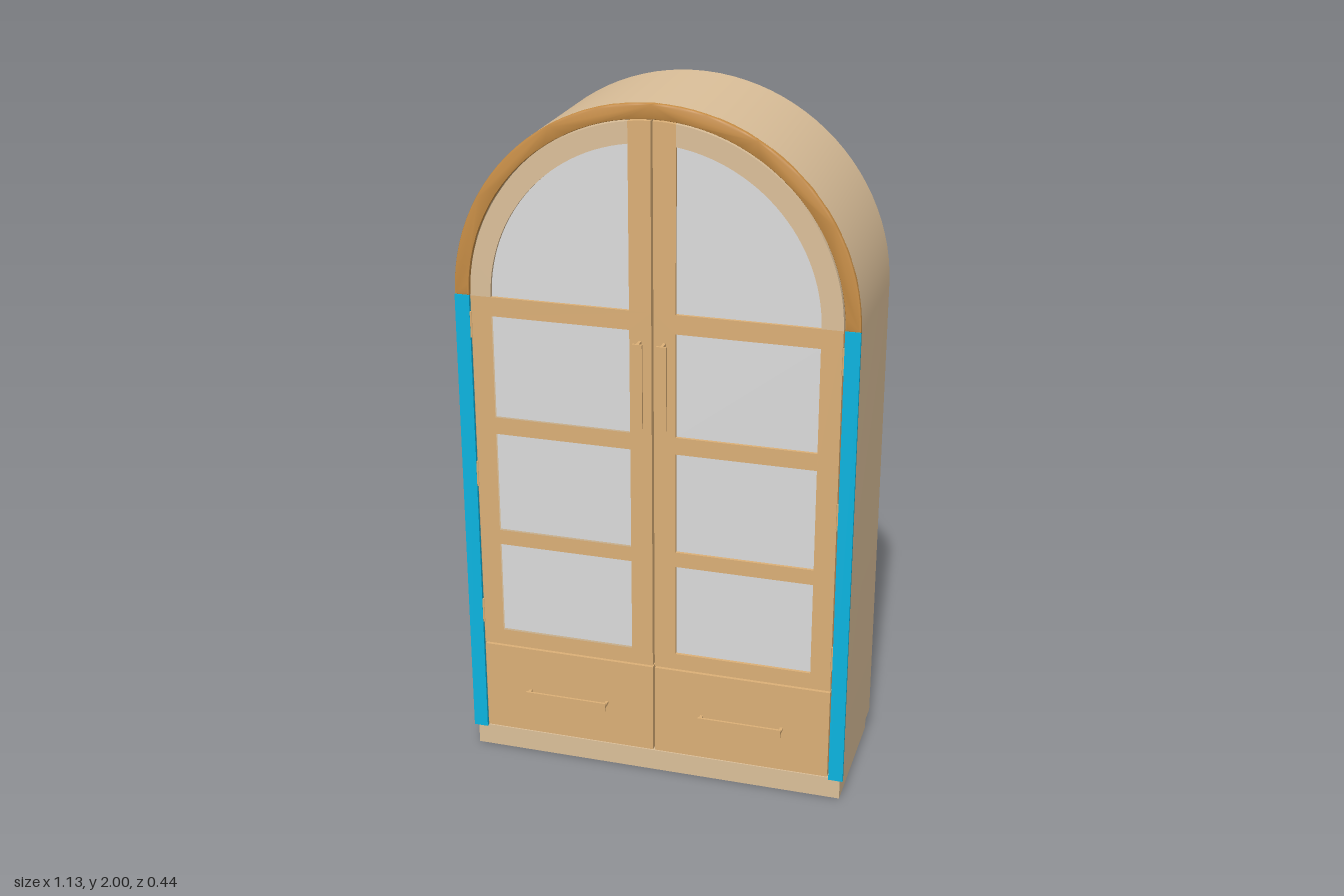
import * as THREE from 'three';
import { toCreasedNormals } from 'three/addons/utils/BufferGeometryUtils.js';

const mat = (name, color) => {
  const m = new THREE.MeshStandardMaterial({ color });
  m.name = name;
  return m;
};

export function createModel() {
  const root = new THREE.Group();
  root.name = 'archedCabinet';
  const paleWood = mat('pale wood', 0xdcc09a);
  const doorWood = mat('door wood', 0xdcb077);
  const archWood = mat('arch trim wood', 0xc88e46);
  const blue = mat('blue post', 0x0bb5e0);
  const backBrown = mat('back panel brown', 0xa87f2d);
  const glass = mat('frosted glass', 0xdcdcdc);
  const green = mat('drawer base green', 0x0a7a14);
  const teal = mat('rail teal', 0x8fd0d8);
  const purple = mat('bracket purple', 0xb080d0);

  const C = 1.435, R = 0.565, INNER = 0.523, BASE = 0.065;
  const FRONT = 0.1925, BACK = -0.2225;

  const add = (name, geo, material, parent = root) => {
    const mesh = new THREE.Mesh(geo, material);
    mesh.name = name;
    parent.add(mesh);
    return mesh;
  };
  // box given by its extents
  const box = (name, x0, x1, y0, y1, z0, z1, material, parent) =>
    add(name, new THREE.BoxGeometry(Math.abs(x1 - x0), y1 - y0, z1 - z0), material, parent)
      .position.set((x0 + x1) / 2, (y0 + y1) / 2, (z0 + z1) / 2);
  // points on the arch circle
  const arc = (r, a0, a1, n = 48) => Array.from({ length: n + 1 }, (_, i) => {
    const a = a0 + (a1 - a0) * i / n;
    return [r * Math.cos(a), C + r * Math.sin(a)];
  });
  // plate extruded from an outline, side -1 mirrors it in x
  const plate = (name, pts, z0, z1, material, { side = 1, holes = [], bevel = 0, parent } = {}) => {
    const toV = (list) => list.map(([x, y]) => new THREE.Vector2(x * side, y));
    const shape = new THREE.Shape(toV(pts));
    shape.holes = holes.map((h) => new THREE.Path(toV(h)));
    const geo = new THREE.ExtrudeGeometry(shape, {
      depth: z1 - z0 - 2 * bevel, bevelEnabled: bevel > 0, bevelThickness: bevel,
      bevelSize: bevel, bevelOffset: -bevel, bevelSegments: 2,
    });
    geo.translate(0, 0, z0 + bevel);
    return add(name, toCreasedNormals(geo, 0.5), material, parent);
  };
  const rect = (x0, x1, y0, y1) => [[x0, y0], [x1, y0], [x1, y1], [x0, y1]];

  // carcass shell, back and floor
  plate('carcass', [[R, BASE], ...arc(R, 0, Math.PI), [-R, BASE],
    [-INNER, BASE], ...arc(INNER, Math.PI, 0), [INNER, BASE]], BACK + 0.001, 0.183, paleWood);
  plate('backPanel', [[R - 0.003, BASE], ...arc(R - 0.003, 0, Math.PI), [-R + 0.003, BASE]],
    BACK, BACK + 0.008, backBrown);
  box('floor', -INNER, INNER, 0.088, 0.1, BACK + 0.008, 0.17, paleWood);

  // front trim: arch above, posts at the sides
  plate('archTrim', [...arc(R, 0, Math.PI), ...arc(INNER, Math.PI, 0)],
    0.176, FRONT, archWood, { bevel: 0.004 });

  // plinth frame, open underneath
  const plinth = new THREE.Group();
  plinth.name = 'plinth';
  root.add(plinth);
  box('plinthFront', -0.555, 0.555, 0, BASE, 0.145, 0.182, paleWood, plinth);
  box('plinthBack', -0.555, 0.555, 0, BASE, -0.22, -0.18, paleWood, plinth);

  const rows = [[0.405, 0.685], [0.73, 1.03], [1.08, 1.38]];
  const X0 = 0.003, X1 = 0.519, P0 = 0.065, P1 = 0.46;
  const DZ0 = 0.165, DZ1 = 0.19, GZ = 0.181;

  for (const side of [1, -1]) {
    const s = side > 0 ? 'left' : 'right';
    const sbox = (name, x0, x1, ...rest) => box(name, side * x0, side * x1, ...rest);

    sbox(s + 'Post', INNER, R, BASE, C, 0.183, FRONT, blue);
    sbox(s + 'PlinthSide', 0.515, 0.555, 0, BASE, -0.18, 0.145, paleWood, plinth);

    // door: framed lower part, centre stile and arched top rail
    const door = new THREE.Group();
    door.name = s + 'Door';
    root.add(door);
    const opt = { side, parent: door };
    plate('doorFrame', rect(X0, X1, 0.356, C), DZ0, DZ1, doorWood,
      { ...opt, holes: rows.map(([a, b]) => rect(P0, P1, a, b)) });
    const outA = Math.acos(P0 / X1), inA = Math.acos(P0 / P1);
    plate('centreStile', [[X0, C], [P0, C], ...arc(X1, outA, Math.acos(X0 / X1), 6)],
      DZ0, DZ1, doorWood, opt);
    plate('archedRail', [...arc(X1, 0, outA, 28), ...arc(P1, inA, 0, 28)], DZ0, DZ1, paleWood, opt);

    // glass panes
    for (const [a, b] of rows) sbox('pane', P0, P1, a, b, GZ - 0.008, GZ, glass, door);
    plate('archedPane', [[P0, C], ...arc(P1, 0, inA, 28)], GZ - 0.008, GZ, glass, opt);

    // hinges on the outer edge
    for (const y of [0.46, 0.9, 1.35]) {
      const hinge = add('hinge', new THREE.CylinderGeometry(0.004, 0.004, 0.075, 10), doorWood, door);
      hinge.position.set(side * 0.521, y, 0.1885);
    }

    // upright door handle
    sbox('doorHandleBar', 0.02, 0.048, 1.108, 1.352, 0.216, 0.2225, doorWood, door);
    for (const y of [1.112, 1.348])
      sbox('doorHandlePost', 0.03, 0.038, y - 0.004, y + 0.004, DZ1 - 0.002, 0.217, doorWood, door);

    // drawer with a flat handle
    const drawer = new THREE.Group();
    drawer.name = s + 'Drawer';
    root.add(drawer);
    sbox('drawerFront', X0, X1, 0.073, 0.35, DZ0, DZ1, doorWood, drawer);
    sbox('drawerHandleBar', 0.14, 0.385, 0.197, 0.223, 0.216, 0.2225, doorWood, drawer);
    for (const x of [0.144, 0.381])
      sbox('drawerHandlePost', x - 0.004, x + 0.004, 0.206, 0.214, DZ1 - 0.002, 0.217, doorWood, drawer);

    // fittings below the floor
    for (const x of [0.15, 0.37])
      sbox('drawerBase', x - 0.085, x + 0.085, 0.078, 0.086, -0.15, 0.1, green, drawer);
    for (const x of [0.045, 0.26, 0.475])
      sbox('runner', x - 0.008, x + 0.008, 0.07, 0.088, -0.17, 0.12, glass, drawer);
    sbox('cornerBracket', 0.43, 0.515, 0.025, 0.04, 0.06, 0.1, purple);
  }
  box('lowerRail', -0.42, 0.42, 0.02, 0.07, 0.122, 0.13, teal);
  // dark-free backing behind the door gaps
  plate('backing', [[INNER, 0.1], ...arc(INNER, 0, Math.PI), [-INNER, 0.1]], 0.158, 0.164, paleWood);

  return root;
}
